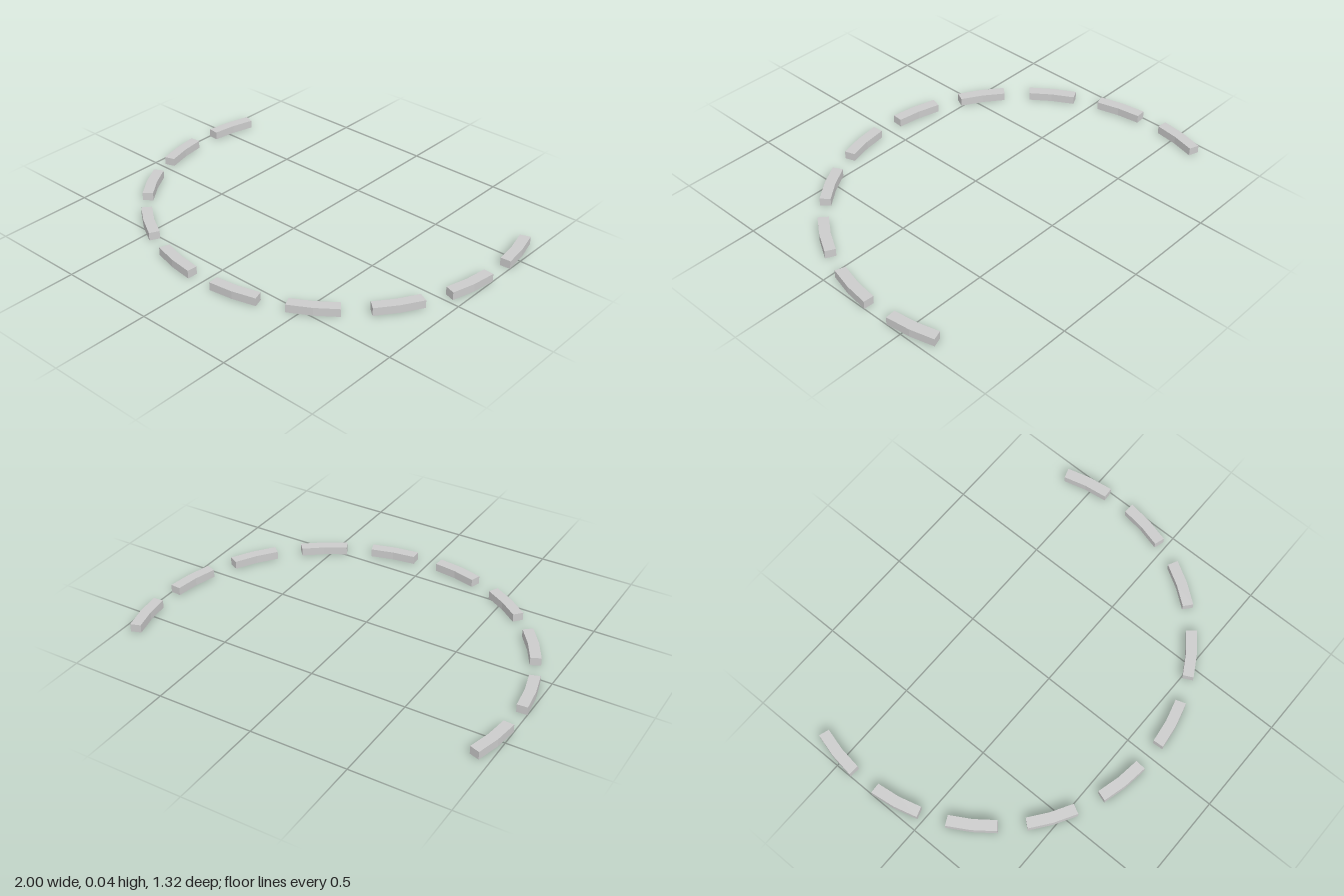
import * as THREE from 'three';

const OUTER = 1.002, INNER = 0.948, HEIGHT = 0.042;
const CENTER_Z = -0.342;
const PITCH = 22.5, HALF_SPAN = 7.2; // degrees

// Flat-faceted arc block, angles measured from the front (+z) towards +x
function arcBlock(centerDeg) {
  const angles = [-HALF_SPAN, 0, HALF_SPAN].map(a => THREE.MathUtils.degToRad(centerDeg + a));
  const at = r => a => new THREE.Vector2(r * Math.sin(a), -r * Math.cos(a));
  const outline = [...angles.map(at(OUTER)), ...angles.reverse().map(at(INNER))];
  const geometry = new THREE.ExtrudeGeometry(new THREE.Shape(outline), { depth: HEIGHT, bevelEnabled: false });
  return geometry.rotateX(-Math.PI / 2);
}

export function createModel() {
  const model = new THREE.Group();
  model.name = 'segmentedArc';
  const material = new THREE.MeshStandardMaterial({ color: 0xcccccc, flatShading: true });

  // Five blocks on each side, open at the back
  for (const [side, sign] of [['left', 1], ['right', -1]]) {
    for (let i = 0; i < 5; i++) {
      const block = new THREE.Mesh(arcBlock(sign * (i + 0.5) * PITCH), material);
      block.name = `${side}ArcBlock${i + 1}`;
      block.position.z = CENTER_Z;
      model.add(block);
    }
  }
  return model;
}
